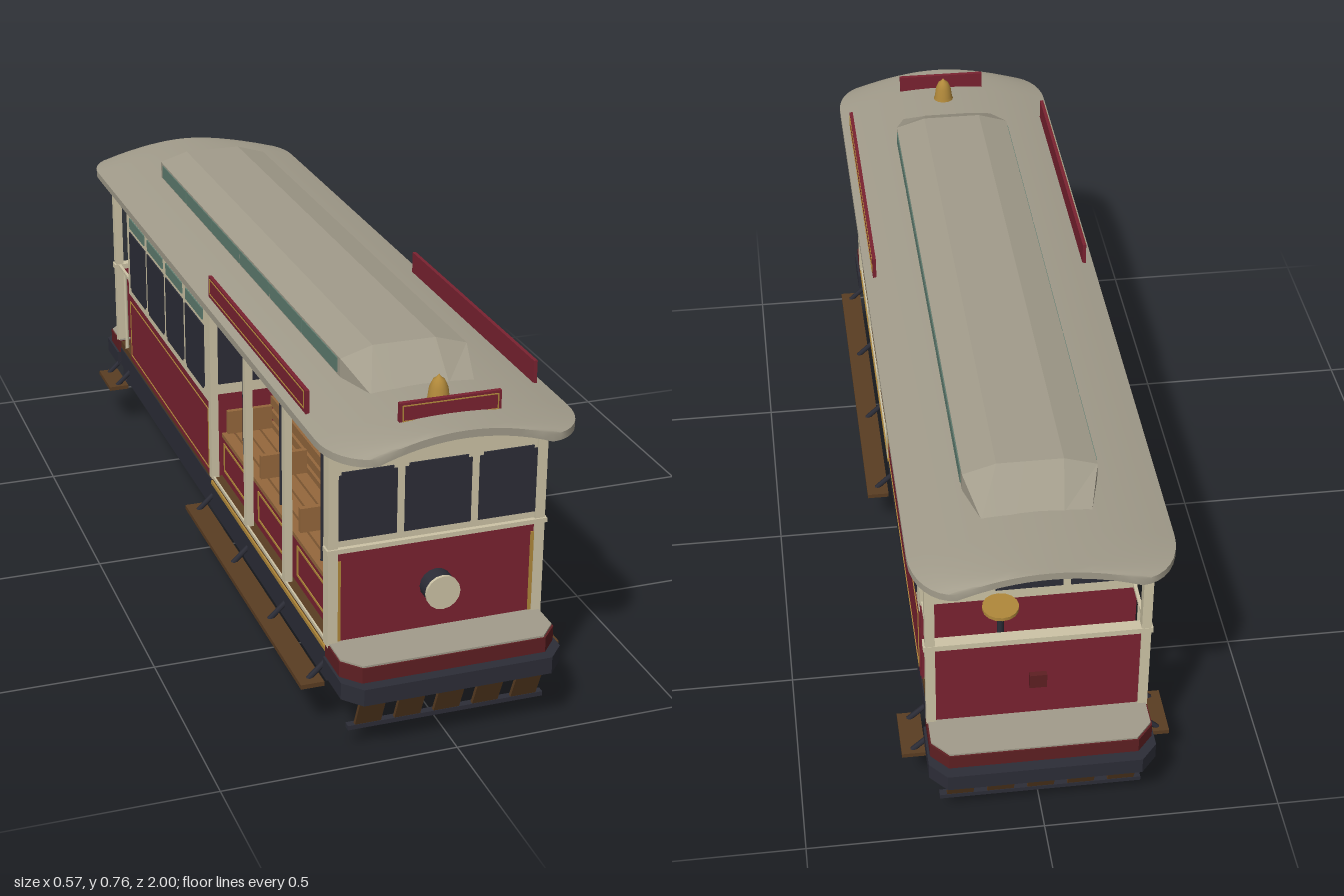
import * as THREE from 'three';
import { toCreasedNormals } from 'three/addons/utils/BufferGeometryUtils.js';

const mat = (name, color) => Object.assign(new THREE.MeshStandardMaterial({ color }), { name });
const M = {
  red: mat('body red', 0x7a2231), sill: mat('dark red', 0x5e1f22), cream: mat('cream', 0xcdc4a6),
  roof: mat('roof grey', 0xa29c8b), dark: mat('iron and glass', 0x2c2d37), black: mat('underside black', 0x1c1c1e),
  teal: mat('teal glass', 0x5f7d70), wood: mat('bench wood', 0x95683c), plank: mat('dark wood', 0x5a3d22),
  gold: mat('gold', 0xb0883a),
};
M.roof.side = THREE.DoubleSide;

export function createModel() {
  const root = new THREE.Group();
  root.name = 'tram';

  const add = (name, geo, m, x = 0, y = 0, z = 0) => {
    const o = new THREE.Mesh(geo, m);
    o.name = name;
    o.position.set(x, y, z);
    root.add(o);
    return o;
  };
  // box given by its limits
  const box = (name, m, x0, x1, y0, y1, z0, z1) =>
    add(name, new THREE.BoxGeometry(Math.abs(x1 - x0), y1 - y0, Math.abs(z1 - z0)), m, (x0 + x1) / 2, (y0 + y1) / 2, (z0 + z1) / 2);
  // the same box on both sides
  const pair = (name, m, x0, x1, y0, y1, z0, z1) => {
    for (const s of [1, -1]) box(name, m, s * x0, s * x1, y0, y1, z0, z1);
  };
  const rod = (name, m, a, b, r, sides = 8) => {
    const p = new THREE.Vector3(...a), q = new THREE.Vector3(...b);
    const o = add(name, new THREE.CylinderGeometry(r, r, p.distanceTo(q), sides), m);
    o.position.copy(p).add(q).multiplyScalar(0.5);
    o.quaternion.setFromUnitVectors(new THREE.Vector3(0, 1, 0), q.sub(p).normalize());
    return o;
  };
  // thin rectangular outline on a side face at +x and -x
  const sideFrame = (name, m, x, y0, y1, z0, z1, t = 0.005) => {
    pair(name, m, x, x + 0.003, y0, y0 + t, z0, z1);
    pair(name, m, x, x + 0.003, y1 - t, y1, z0, z1);
    pair(name, m, x, x + 0.003, y0, y1, z0, z0 + t);
    pair(name, m, x, x + 0.003, y0, y1, z1 - t, z1);
  };
  // slab lofted along z; each section is {z, pts: [x, yTop, yBottom] from +x to -x}
  const slab = (sections, crease) => {
    const n = sections[0].pts.length, N = 2 * n, pos = [], idx = [];
    for (const { z, pts } of sections) {
      pts.forEach(([x, t]) => pos.push(x, t, z));
      [...pts].reverse().forEach(([x, , b]) => pos.push(x, b, z));
    }
    const last = (sections.length - 1) * N;
    for (let k = 0; k < last; k += N) for (let i = 0; i < N; i++) {
      const a = k + i, b = k + (i + 1) % N;
      idx.push(a, b, b + N, a, b + N, a + N);
    }
    for (let i = 0; i < n - 1; i++) {
      const a = i, b = i + 1, c = N - 2 - i, d = N - 1 - i;
      idx.push(last + a, last + b, last + c, last + a, last + c, last + d, a, c, b, a, d, c);
    }
    const g = new THREE.BufferGeometry();
    g.setAttribute('position', new THREE.Float32BufferAttribute(pos, 3));
    g.setIndex(idx);
    return toCreasedNormals(g, crease);
  };

  // main roof: arched shell with rounded corners in plan
  const arch = u => 0.034 * (1 - u * u);
  const roofZ = [];
  for (let i = 0; i <= 8; i++) roofZ.push(0.88 + 0.12 * Math.sin(i / 8 * Math.PI / 2));
  const stations = [...roofZ.map(z => -z).reverse(), ...roofZ];
  add('roof', slab(stations.map(z => {
    const c = (Math.abs(z) - 0.88) / 0.12;
    const w = 0.18 + 0.085 * Math.sqrt(Math.max(0, 1 - c * c));
    const pts = [];
    for (let i = 0; i <= 16; i++) {
      const u = 1 - i / 8;
      pts.push([u * w, 0.671 + arch(u), 0.655 + arch(u)]);
    }
    return { z, pts };
  }), 0.6), M.roof);

  // raised clerestory with sloping ends and side lights
  const hood = (z, w, eave, top) => ({
    z, pts: [[w, eave, 0.688], [w * 0.5, top, 0.688], [-w * 0.5, top, 0.688], [-w, eave, 0.688]],
  });
  add('clerestory', slab([hood(-0.82, 0.11, 0.697, 0.702), hood(-0.72, 0.137, 0.736, 0.757),
    hood(0.66, 0.137, 0.736, 0.757), hood(0.77, 0.11, 0.697, 0.702)], 0.1), M.roof);
  for (let i = 0; i < 6; i++)
    pair('clerestoryLight', M.teal, 0.135, 0.139, 0.7, 0.732, -0.7 + i * 0.225, -0.482 + i * 0.225);

  // roof boards and bell
  pair('sideSign', M.red, 0.239, 0.247, 0.674, 0.725, 0.09, 0.77);
  sideFrame('sideSignTrim', M.gold, 0.2455, 0.684, 0.721, 0.1, 0.76, 0.002);
  box('frontSign', M.red, -0.106, 0.106, 0.69, 0.739, 0.905, 0.915);
  for (const y of [0.7, 0.732]) box('frontSignTrim', M.gold, -0.1, 0.1, y, y + 0.002, 0.914, 0.917);
  for (const x of [-0.1, 0.098]) box('frontSignTrim', M.gold, x, x + 0.002, 0.7, 0.734, 0.914, 0.917);
  add('bell', new THREE.LatheGeometry([[0.026, 0], [0.022, 0.012], [0.019, 0.035], [0.012, 0.05], [0.005, 0.055], [0, 0.062]]
    .map(p => new THREE.Vector2(...p)), 16), M.gold, 0, 0.7, 0.85);

  // underframe, deck and end sills
  box('underframe', M.dark, -0.2, 0.2, 0.108, 0.14, -0.93, 0.93);
  box('undersidePlate', M.black, -0.198, 0.198, 0.104, 0.108, -0.92, 0.92);
  box('sideSills', M.dark, -0.228, 0.228, 0.135, 0.185, -0.9, 0.9);
  pair('lowerSill', M.dark, 0.2, 0.226, 0.108, 0.14, -0.84, 0.84);
  box('deck', M.plank, -0.226, 0.226, 0.185, 0.203, -0.87, 0.87);
  pair('deckEdge', M.cream, 0.226, 0.23, 0.198, 0.206, 0.03, 0.84);
  pair('deckStripe', M.gold, 0.228, 0.232, 0.182, 0.191, 0.03, 0.85);
  const endPlan = (z1, w) => {
    const s = new THREE.Shape();
    [[-w, 0.85], [w, 0.85], [w, z1 - 0.04], [w - 0.035, z1], [-w + 0.035, z1], [-w, z1 - 0.04]]
      .forEach(([x, z], i) => i ? s.lineTo(x, -z) : s.moveTo(x, -z));
    return s;
  };
  for (const e of [1, -1]) {
    const end = (name, m, z1, w, y0, y1) => {
      const g = new THREE.ExtrudeGeometry(endPlan(z1, w), { depth: y1 - y0, bevelEnabled: false });
      g.rotateX(-Math.PI / 2);
      if (e < 0) g.rotateY(Math.PI);
      add(name, g, m, 0, y0, 0);
    };
    end('bumper', M.dark, 1, 0.237, 0.135, 0.172);
    end('endSill', M.sill, 0.975, 0.232, 0.17, 0.205);
    end('endSillTop', M.roof, 0.972, 0.229, 0.205, 0.209);
    // slatted guard under each end
    for (let i = -2; i <= 2; i++) {
      const slat = add('guardSlat', new THREE.BoxGeometry(0.056, 0.094, 0.008), M.plank, i * 0.085, 0.094, e * 0.95);
      slat.rotation.x = e * 0.42;
    }
    box('guardBar', M.dark, -0.213, 0.213, 0.045, 0.055, e * 0.922, e * 0.938);
  }

  // walls across the car: red below, cream arch above, three windows on each face
  const crossWall = (name, z, half) => {
    const s = new THREE.Shape();
    s.moveTo(-half, 0.41);
    s.lineTo(half, 0.41);
    for (let i = 0; i <= 12; i++) {
      const x = half * (1 - i / 6);
      s.lineTo(x, 0.66 + arch(x / 0.265));
    }
    add(name, new THREE.ExtrudeGeometry(s, { depth: 0.014, bevelEnabled: false }), M.cream, 0, 0, z - 0.007);
    box(name + 'Panel', M.red, -half, half, 0.2, 0.41, z - 0.007, z + 0.007);
    for (const f of [1, -1]) {
      for (const x of [-0.15, 0, 0.15]) {
        const w = x ? 0.0625 : 0.071;
        box('endWindow', M.dark, x - w, x + w, 0.436, 0.578, z + f * 0.006, z + f * 0.01);
        box('endWindowTop', M.dark, x - w + 0.008, x + w - 0.008, 0.578, 0.585, z + f * 0.006, z + f * 0.01);
      }
    }
  };
  crossWall('frontWall', 0.855, 0.213);
  crossWall('cabinFrontWall', 0.028, 0.228);
  crossWall('cabinRearWall', -0.73, 0.228);
  box('frontRail', M.cream, -0.237, 0.237, 0.411, 0.421, 0.845, 0.872);
  pair('frontTrim', M.gold, 0.205, 0.212, 0.21, 0.39, 0.861, 0.865);
  rod('headlightBody', M.dark, [0, 0.305, 0.86], [0, 0.305, 0.898], 0.035, 16);
  rod('headlightLens', M.cream, [0, 0.305, 0.897], [0, 0.305, 0.904], 0.037, 16);

  // closed cabin
  box('cabinLower', M.red, -0.23, 0.23, 0.2, 0.385, -0.728, 0.028);
  box('cabinUpper', M.cream, -0.23, 0.23, 0.385, 0.662, -0.728, 0.028);
  pair('cabinCorner', M.cream, 0.215, 0.233, 0.2, 0.66, 0.022, 0.042);
  pair('cabinStripe', M.red, 0.229, 0.234, 0.633, 0.645, -0.73, 0.022);
  sideFrame('cabinTrim', M.gold, 0.229, 0.215, 0.368, -0.715, 0.012, 0.002);
  for (let i = 0; i < 4; i++) {
    const z1 = -0.015 - i * 0.176, z0 = z1 - 0.154;
    pair('cabinWindow', M.dark, 0.228, 0.233, 0.412, 0.565, z0, z1);
    pair('cabinWindowFoot', M.dark, 0.228, 0.233, 0.405, 0.412, z0 + 0.008, z1 - 0.008);
    pair('cabinTransom', M.teal, 0.228, 0.233, 0.577, 0.604, z0 + 0.006, z1 - 0.006);
  }

  // open section: posts, header beams and bays
  pair('frontCornerPost', M.cream, 0.212, 0.233, 0.2, 0.662, 0.838, 0.868);
  for (const z of [0.575, 0.3]) pair('sidePost', M.cream, 0.214, 0.231, 0.2, 0.66, z - 0.009, z + 0.009);
  pair('header', M.cream, 0.214, 0.23, 0.61, 0.662, 0.04, 0.84);
  for (const [z0, z1] of [[0.05, 0.285], [0.315, 0.56], [0.59, 0.83]]) {
    pair('headerPlate', M.red, 0.229, 0.233, 0.62, 0.636, z0, z1);
    pair('headerTrim', M.gold, 0.229, 0.2335, 0.617, 0.62, z0, z1);
    pair('seatPanel', M.red, 0.196, 0.206, 0.203, 0.305, z0 - 0.015, z1 + 0.015);
    sideFrame('seatPanelTrim', M.gold, 0.205, 0.222, 0.294, z0 + 0.005, z1 - 0.005);
    const zm = (z0 + z1) / 2;
    for (const s of [1, -1]) rod('grabPole', M.dark, [s * 0.19, 0.31, zm], [s * 0.19, 0.66, zm], 0.005);
  }

  // outward-facing slatted benches
  for (let i = 0; i < 4; i++) pair('seatSlat', M.wood, 0.088 + i * 0.031, 0.114 + i * 0.031, 0.304, 0.314, 0.04, 0.835);
  for (const [y0, y1] of [[0.402, 0.44], [0.368, 0.392], [0.338, 0.358], [0.314, 0.328]])
    pair('backSlat', M.wood, 0.078, 0.088, y0, y1, 0.04, 0.835);
  for (const z of [0.045, 0.3, 0.575, 0.83]) {
    pair('seatDivider', M.wood, 0.088, 0.195, 0.314, 0.37, z - 0.006, z + 0.006);
    pair('backUpright', M.plank, 0.07, 0.078, 0.203, 0.44, z - 0.008, z + 0.008);
  }
  pair('seatBase', M.plank, 0.078, 0.084, 0.203, 0.304, 0.04, 0.835);

  // control levers in the aisle
  rod('gripLever', M.dark, [0, 0.2, 0.56], [0, 0.47, 0.51], 0.007);
  rod('brakeLever', M.dark, [0.03, 0.2, 0.46], [0.03, 0.4, 0.53], 0.006);
  box('leverHandle', M.dark, -0.012, 0.012, 0.46, 0.478, 0.5, 0.525);

  // open rear platform
  pair('rearPost', M.cream, 0.212, 0.232, 0.2, 0.664, -0.875, -0.853);
  box('rearPanel', M.red, -0.214, 0.214, 0.2, 0.41, -0.87, -0.858);
  box('rearRail', M.cream, -0.236, 0.236, 0.409, 0.422, -0.876, -0.85);
  box('rearLamp', M.sill, -0.018, 0.018, 0.288, 0.322, -0.882, -0.869);
  pair('platformRail', M.cream, 0.219, 0.226, 0.413, 0.421, -0.855, -0.735);
  for (const s of [1, -1]) rod('platformStanchion', M.cream, [s * 0.222, 0.2, -0.8], [s * 0.222, 0.418, -0.8], 0.005);
  rod('brakeColumn', M.dark, [0.07, 0.2, -0.81], [0.07, 0.452, -0.81], 0.007);
  rod('brakeWheel', M.gold, [0.07, 0.45, -0.81], [0.07, 0.458, -0.81], 0.038, 16);

  // running boards, steps and their brackets
  pair('runningBoard', M.plank, 0.235, 0.285, 0.106, 0.116, -0.01, 0.855);
  pair('rearStep', M.plank, 0.235, 0.285, 0.106, 0.116, -0.87, -0.75);
  for (const z of [0.83, 0.57, 0.3, 0.02, -0.765, -0.855]) for (const s of [1, -1])
    rod('stepBracket', M.dark, [s * 0.225, 0.148, z], [s * 0.262, 0.113, z], 0.006, 6);

  // two bogies with wheels, axles and side frames
  for (const zc of [0.587, -0.58]) {
    for (const dz of [0.148, -0.148]) {
      const z = zc + dz;
      rod('axle', M.dark, [-0.16, 0.06, z], [0.16, 0.06, z], 0.012);
      for (const s of [1, -1]) {
        rod('wheel', M.dark, [s * 0.116, 0.06, z], [s * 0.14, 0.06, z], 0.06, 24);
        box('axleBox', M.dark, s * 0.14, s * 0.168, 0.038, 0.085, z - 0.025, z + 0.025);
      }
    }
    pair('bogieFrame', M.dark, 0.143, 0.16, 0.055, 0.106, zc - 0.235, zc + 0.235);
    box('bolster', M.dark, -0.15, 0.15, 0.06, 0.106, zc - 0.04, zc + 0.04);
  }
  return root;
}
